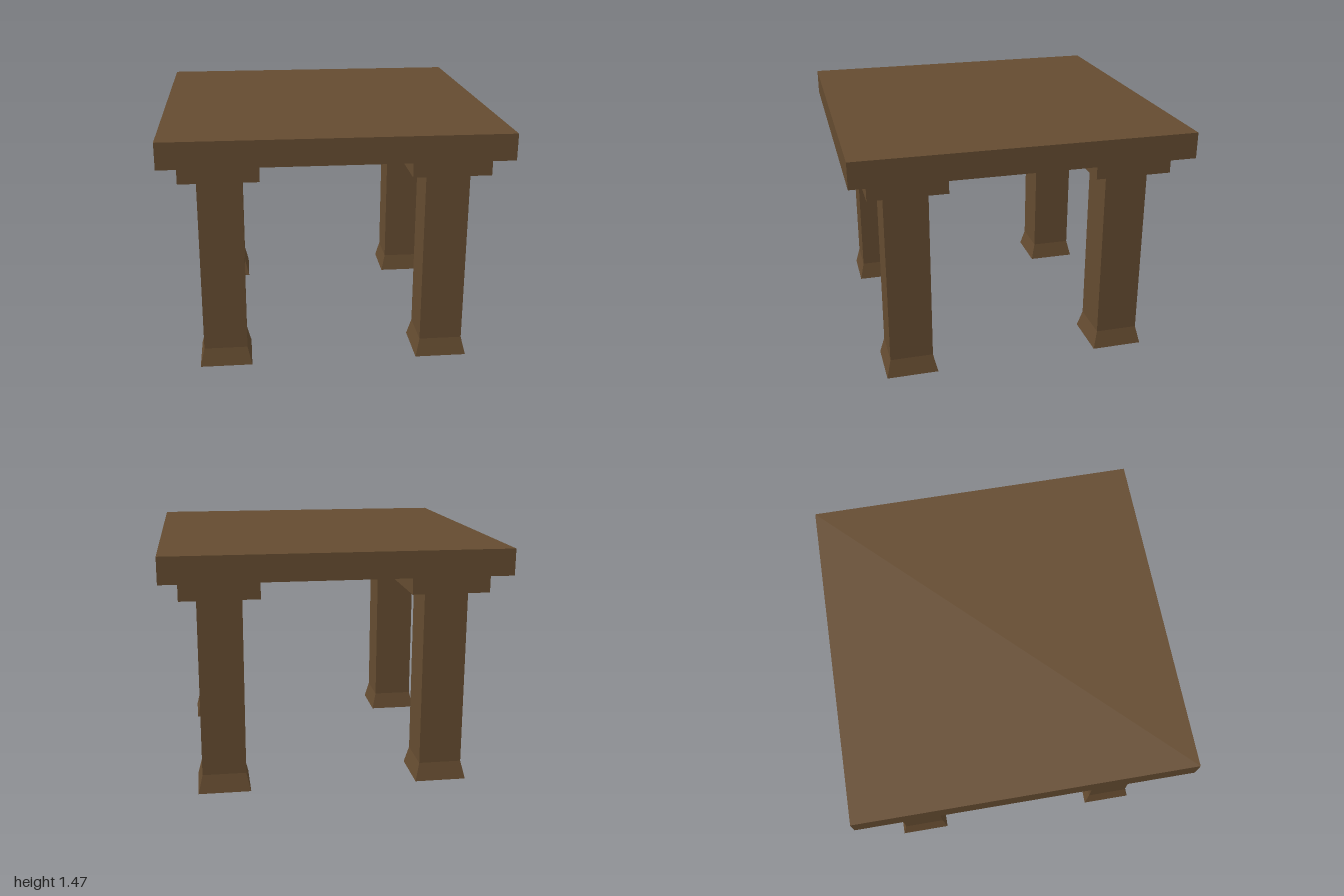
import * as THREE from 'three';

const material = new THREE.MeshStandardMaterial({ color: 0x644b30, flatShading: true });

function addPart(parent, name, geometry, y) {
  const mesh = new THREE.Mesh(geometry, material);
  mesh.name = name;
  mesh.position.y = y;
  parent.add(mesh);
}

// Box resting on y = 0
function block(width, height) {
  return new THREE.BoxGeometry(width, height, width).translate(0, height / 2, 0);
}

// Square frustum resting on y = 0
function taperedBlock(topWidth, bottomWidth, height) {
  return new THREE.CylinderGeometry(topWidth * Math.SQRT1_2, bottomWidth * Math.SQRT1_2, height, 4)
    .rotateY(Math.PI / 4)
    .translate(0, height / 2, 0);
}

export function createModel() {
  const table = new THREE.Group();
  table.name = 'table';

  addPart(table, 'tableTop', block(2, 0.155), 1.317);

  // Four identical legs, each with a flared foot and a square cap
  const foot = taperedBlock(0.262, 0.315, 0.11);
  const post = block(0.262, 1.09);
  const cap = block(0.46, 0.117);
  for (const [side, x] of [['Left', 1], ['Right', -1]]) {
    for (const [end, z] of [['front', 1], ['back', -1]]) {
      const leg = new THREE.Group();
      leg.name = `${end}${side}Leg`;
      leg.position.set(x * 0.666, 0, z * 0.666);
      addPart(leg, 'foot', foot, 0);
      addPart(leg, 'post', post, 0.11);
      addPart(leg, 'cap', cap, 1.2);
      table.add(leg);
    }
  }
  return table;
}
